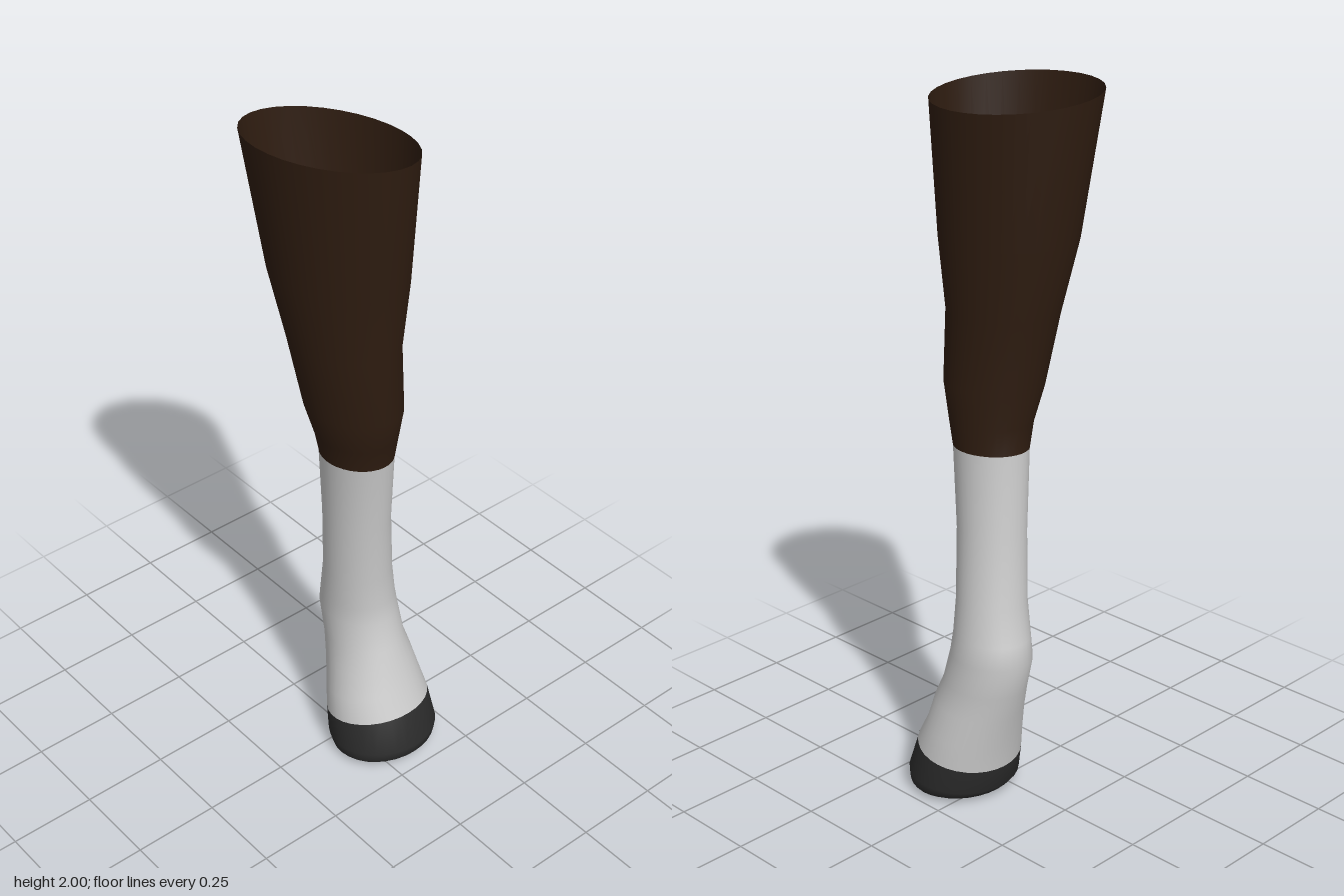
import * as THREE from 'three';

const SEGMENTS = 32;
const { smoothstep } = THREE.MathUtils;

// Outline of each part, bottom to top: [y, xMin, xMax, zMin, zMax]
// Each part starts on the last ring of the part below it.
const parts = [
  {
    name: 'hoof',
    color: 0x2b2b2b,
    rings: [
      [0, 0.07, 0.09, -0.08, -0.06],
      [0.01, -0.03, 0.205, -0.222, 0.075],
      [0.02, -0.055, 0.218, -0.232, 0.087],
      [0.046, -0.073, 0.225, -0.235, 0.09],
      [0.13, -0.084, 0.19, -0.227, 0.082],
    ],
  },
  {
    name: 'whiteStocking',
    color: 0xcccccc,
    rings: [
      [0.2, -0.095, 0.157, -0.215, 0.068],
      [0.28, -0.117, 0.137, -0.198, 0.048],
      [0.35, -0.135, 0.111, -0.183, 0.035],
      [0.44, -0.156, 0.087, -0.178, 0.032],
      [0.5, -0.143, 0.082, -0.166, 0.033],
      [0.6, -0.12, 0.08, -0.15, 0.037],
      [0.8, -0.1, 0.095, -0.125, 0.05],
      [1.028, -0.088, 0.12, -0.112, 0.07],
    ],
  },
  {
    name: 'upperLeg',
    color: 0x2e1c10,
    rings: [
      [1.1, -0.09, 0.135, -0.115, 0.087],
      [1.2, -0.11, 0.16, -0.117, 0.115],
      [1.4, -0.14, 0.157, -0.113, 0.145],
      [1.6, -0.185, 0.178, -0.13, 0.18],
      [1.975, -0.23, 0.205, -0.148, 0.235],
    ],
  },
];

// Points of one slanted oval ring
function ringPoints([y, x0, x1, z0, z1]) {
  // Tilted up towards the toe around the hoof, and towards the front at the top rim
  const tiltX = 0.2 * Math.min(y / 0.13, 1) * (1 - smoothstep(y, 0.13, 0.42));
  const tiltZ = 0.13 * smoothstep(y, 1.4, 1.975);
  const skew = 0.2 * smoothstep(y, 0.3, 1.6);
  const points = [];
  for (let i = 0; i < SEGMENTS; i++) {
    const t = (i / SEGMENTS) * Math.PI * 2;
    const dx = ((x1 - x0) / 2) * Math.cos(t);
    const dz = ((z1 - z0) / 2) * Math.sin(t - skew);
    points.push((x0 + x1) / 2 + dx, y + tiltX * dx + tiltZ * dz, (z0 + z1) / 2 + dz);
  }
  return points;
}

// Triangles joining the rings from first to last
function bandIndex(first, last) {
  const index = [];
  for (let r = first; r < last; r++) {
    for (let i = 0; i < SEGMENTS; i++) {
      const a = r * SEGMENTS + i;
      const b = r * SEGMENTS + ((i + 1) % SEGMENTS);
      index.push(a, a + SEGMENTS, b, b, a + SEGMENTS, b + SEGMENTS);
    }
  }
  // Close the small hole in the middle of the sole
  if (first === 0) for (let i = 1; i < SEGMENTS - 1; i++) index.push(0, i, i + 1);
  return index;
}

export function createModel() {
  const group = new THREE.Group();
  group.name = 'horseLeg';

  // One skin through all the rings, so the shading runs smoothly across the parts
  const rings = parts.flatMap((part) => part.rings);
  const skin = new THREE.BufferGeometry();
  skin.setAttribute('position', new THREE.Float32BufferAttribute(rings.flatMap(ringPoints), 3));
  skin.setIndex(bandIndex(0, rings.length - 1));
  skin.computeVertexNormals();

  // Each part takes its own band of the skin
  let first = 0;
  let count = 0;
  for (const part of parts) {
    count += part.rings.length;
    const geometry = new THREE.BufferGeometry();
    geometry.setAttribute('position', skin.getAttribute('position'));
    geometry.setAttribute('normal', skin.getAttribute('normal'));
    geometry.setIndex(bandIndex(first, count - 1));
    first = count - 1;

    // The leg is an open tube, so its inside shows too
    const material = new THREE.MeshStandardMaterial({ color: part.color, side: THREE.DoubleSide });
    const mesh = new THREE.Mesh(geometry, material);
    mesh.name = part.name;
    group.add(mesh);
  }
  return group;
}
